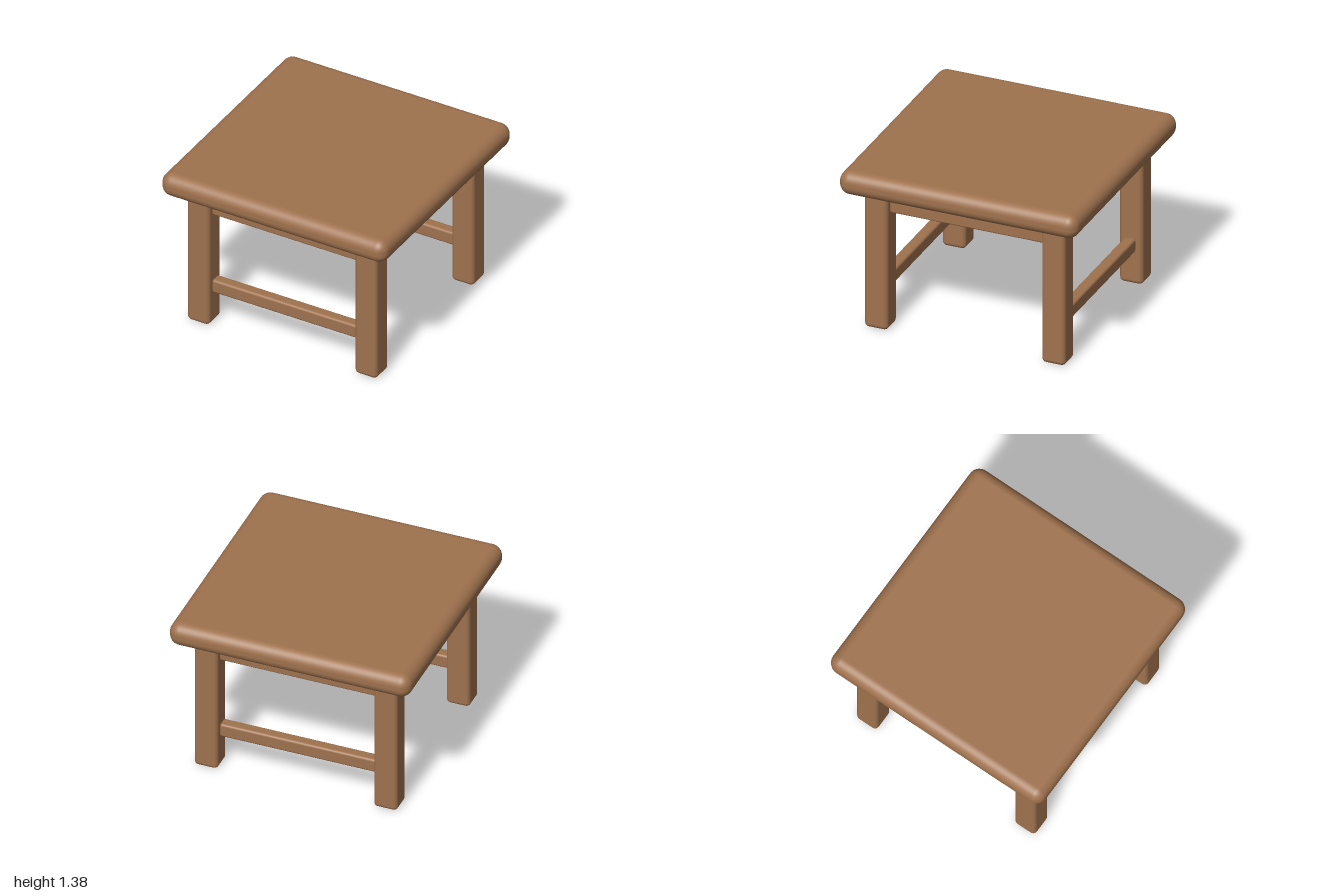
import * as THREE from 'three';
import { RoundedBoxGeometry } from 'three/addons/geometries/RoundedBoxGeometry.js';

export function createModel() {
  const table = new THREE.Group();
  table.name = 'squareTable';
  const wood = new THREE.MeshStandardMaterial({ color: 0x9f724e });
  wood.name = 'brownWood';

  // Rounded block given by its size, centre and edge radius
  const block = (name, size, pos, radius, segments = 4) => {
    const mesh = new THREE.Mesh(new RoundedBoxGeometry(...size, segments, radius), wood);
    mesh.name = name;
    mesh.position.set(...pos);
    table.add(mesh);
  };

  const legCentre = 0.743, legWidth = 0.196, span = 1.294;

  // Thick top with soft edges
  block('tableTop', [2, 0.2, 2], [0, 1.275, 0], 0.09, 6);

  for (const s of [-1, 1]) {
    const side = s > 0 ? 'Left' : 'Right';
    const end = s > 0 ? 'front' : 'back';

    // Two legs on each side
    for (const t of [-1, 1]) {
      const row = t > 0 ? 'front' : 'back';
      block(row + side + 'Leg', [legWidth, 1.175, legWidth],
        [s * legCentre, 0.5875, t * legCentre], 0.036);
    }

    // Apron rails under the top on all four sides
    block(end + 'Apron', [span, 0.175, 0.09], [0, 1.0895, s * legCentre], 0.015);
    block(side.toLowerCase() + 'Apron', [0.09, 0.175, span], [s * legCentre, 1.0895, 0], 0.015);

    // Low stretchers at the front and back only
    block(end + 'Stretcher', [span, 0.116, 0.094], [0, 0.343, s * legCentre], 0.02);
  }
  return table;
}
